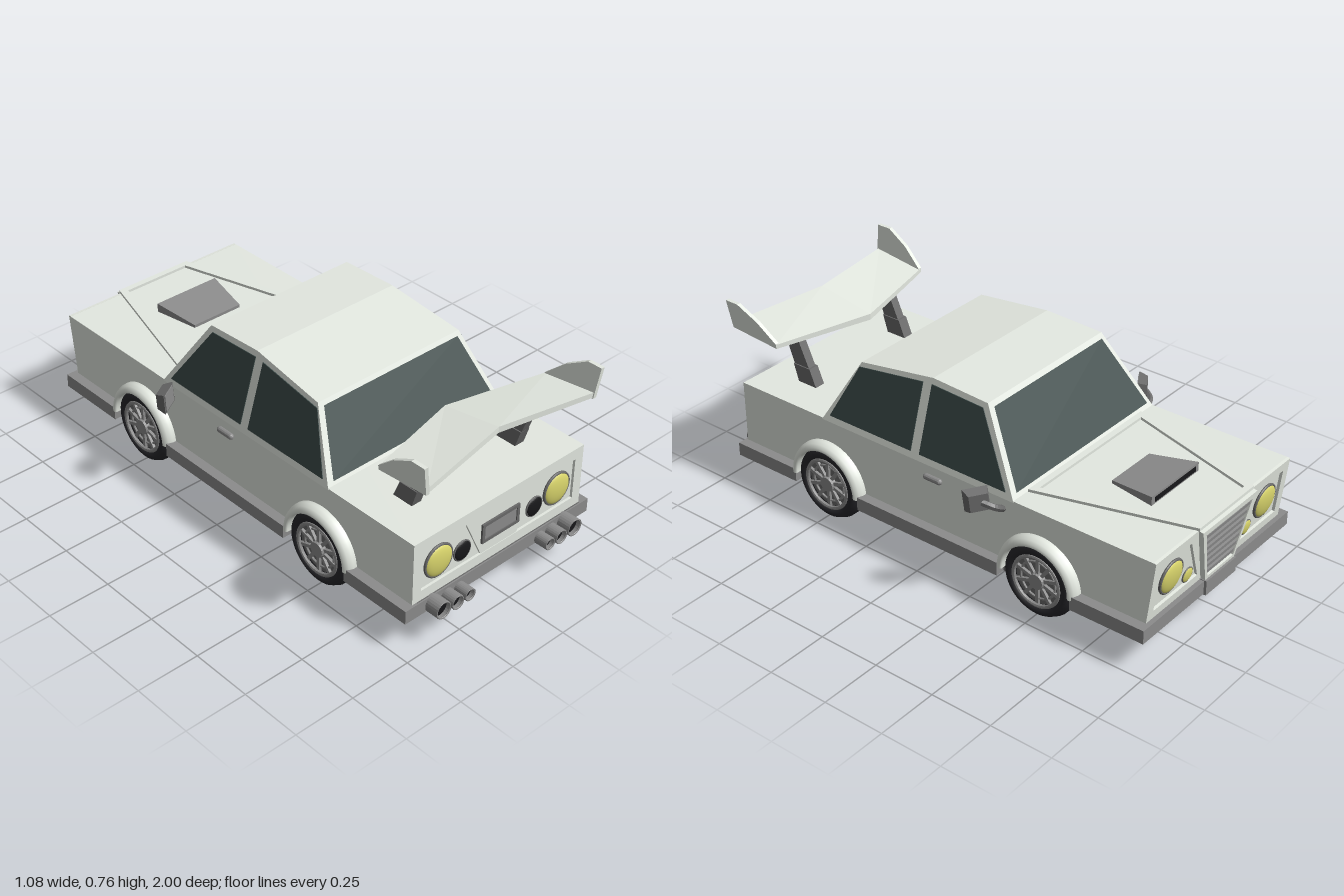
import * as THREE from 'three';

const mat = (color, flat = true) => new THREE.MeshStandardMaterial({ color, flatShading: flat, side: THREE.DoubleSide });
const paint = mat(0xe4e9e1), paintSmooth = mat(0xe4e9e1, false), trim = mat(0x8c8c8c), dark = mat(0x6a6a6a);
const glass = mat(0x3c4b49), yellow = mat(0xd9d56c, false), black = mat(0x18181a), rubber = mat(0x26262a, false);
const SIDES = [-1, 1];

function add(parent, name, geo, material, x = 0, y = 0, z = 0) {
  const m = new THREE.Mesh(geo, material);
  m.name = name;
  m.position.set(x, y, z);
  parent.add(m);
  return m;
}
function group(parent, name, x = 0, y = 0, z = 0) {
  const g = new THREE.Group();
  g.name = name;
  g.position.set(x, y, z);
  parent.add(g);
  return g;
}
const box = (w, h, d) => new THREE.BoxGeometry(w, h, d);
const vecs = pts => pts.map(p => new THREE.Vector2(p[0], p[1]));

// flat plate in xy, extruded towards +z, with optional holes
function plate(pts, depth, holes = []) {
  const s = new THREE.Shape(vecs(pts));
  holes.forEach(h => s.holes.push(new THREE.Path(vecs(h))));
  return new THREE.ExtrudeGeometry(s, { depth, bevelEnabled: false });
}
// [z, y] profile extruded across x
const across = (pts, w) => plate(pts, w).translate(0, 0, -w / 2).rotateY(-Math.PI / 2);
// moves every vertex by a rule
function bend(geo, rule) {
  const p = geo.attributes.position, v = new THREE.Vector3();
  for (let i = 0; i < p.count; i++) {
    rule(v.fromBufferAttribute(p, i));
    p.setXYZ(i, v.x, v.y, v.z);
  }
  geo.computeVertexNormals();
  return geo;
}
const rod = (r, len, n = 24) => new THREE.CylinderGeometry(r, r, len, n).rotateX(Math.PI / 2);
const rect = (x0, x1, y0, y1) => [[x0, y0], [x1, y0], [x1, y1], [x0, y1]];
const mirrorPts = pts => pts.map(([x, y]) => [-x, y]);

// round lamp with a rim, facing +z
function lamp(parent, name, r, x, y, z, material) {
  const g = group(parent, name, x, y, z);
  add(g, 'lampRim', new THREE.TorusGeometry(r, r * 0.09, 8, 32), dark);
  add(g, 'lampLens', new THREE.SphereGeometry(r, 32, 16).scale(1, 1, 0.28), material);
}

const cabinX = y => 0.42 - 0.31 * (y - 0.42);
const tumblehome = (geo, off) => bend(geo, v => { v.x = Math.sign(v.x) * (cabinX(v.y) + off); });

// sloping windscreen between the cabin base and the roof edge
function screen(zb, zt, yt) {
  const pts = [];
  for (const t of [0.06, 0.94]) {
    const y = 0.42 + t * (yt - 0.42), x = cabinX(y) - 0.022, z = zb + t * (zt - zb) + Math.sign(zb) * 0.004;
    pts.push(-x, y + 0.002, z, x, y + 0.002, z);
  }
  const g = new THREE.BufferGeometry();
  g.setAttribute('position', new THREE.Float32BufferAttribute(pts, 3));
  g.setIndex(zb > 0 ? [0, 1, 3, 0, 3, 2] : [1, 0, 2, 1, 2, 3]);
  g.computeVertexNormals();
  return g;
}

function buildWheel(car, s, z) {
  const w = group(car, 'wheel', s * 0.38, 0.15, z);
  if (s < 0) w.rotation.y = Math.PI;
  const tyre = [[0, -0.07], [0.12, -0.07], [0.14, -0.062], [0.15, -0.04], [0.15, 0.04], [0.14, 0.062], [0.125, 0.07], [0.108, 0.068], [0.104, 0.045], [0, 0.045]];
  add(w, 'tyre', new THREE.LatheGeometry(vecs(tyre), 40).rotateZ(-Math.PI / 2), rubber);
  add(w, 'rim', new THREE.TorusGeometry(0.1, 0.008, 8, 40).rotateY(Math.PI / 2), trim, 0.064);
  add(w, 'rimDish', new THREE.CylinderGeometry(0.098, 0.098, 0.01, 32).rotateZ(Math.PI / 2), dark, 0.046);
  add(w, 'hubRing', new THREE.TorusGeometry(0.075, 0.005, 6, 32).rotateY(Math.PI / 2), trim, 0.054);
  add(w, 'hubCap', new THREE.CylinderGeometry(0.03, 0.036, 0.025, 16).rotateZ(-Math.PI / 2), trim, 0.058);
  for (let i = 0; i < 10; i++) {
    const spoke = box(0.014, 0.07, 0.013).translate(0.055, 0.065, 0).rotateX(i * Math.PI / 5);
    add(w, 'spoke', spoke, trim);
  }
  // flared wheel arch
  const flare = [[0.143, 0.02], [0.143, 0.078], [0.149, 0.085], [0.16, 0.083], [0.17, 0.072], [0.176, 0.055], [0.177, 0.02]];
  add(w, 'wheelArch', new THREE.LatheGeometry(vecs(flare), 32, Math.PI, Math.PI).rotateZ(-Math.PI / 2), paintSmooth);
}

function buildTail(car) {
  const tail = group(car, 'tailPanel', 0, 0, 0.925);
  add(tail, 'tailFrame', plate(rect(-0.42, 0.42, 0.165, 0.42), 0.01, [rect(-0.38, 0.38, 0.205, 0.375)]), paint);
  add(tail, 'plateSurround', plate([[-0.09, 0.205], [0.09, 0.205], [0.17, 0.375], [-0.17, 0.375]], 0.008), paint);
  add(tail, 'plateFrame', plate(rect(-0.093, 0.093, 0.252, 0.333), 0.016, [rect(-0.08, 0.08, 0.264, 0.321)]), dark);
  add(tail, 'numberPlate', box(0.16, 0.058, 0.01), trim, 0, 0.292, 0.007);
  for (const s of SIDES) {
    lamp(tail, 'tailLamp', 0.063, s * 0.295, 0.288, 0.004, yellow);
    lamp(tail, 'smallTailLamp', 0.039, s * 0.18, 0.267, 0.004, black);
    for (const [x, y, r] of [[0.331, 0.132, 0.035], [0.262, 0.127, 0.029], [0.203, 0.127, 0.025]]) {
      const pipe = group(car, 'exhaust', s * x, y, 0.94);
      add(pipe, 'pipe', new THREE.CylinderGeometry(r, r, 0.12, 24, 1, true).rotateX(Math.PI / 2), trim);
      add(pipe, 'pipeLip', new THREE.TorusGeometry(r - 0.003, 0.003, 6, 24), trim, 0, 0, 0.057);
      add(pipe, 'pipeBore', rod(r - 0.003, 0.08), black);
    }
  }
}

function buildNose(car) {
  // local +z points out of the leaning nose
  const nose = group(car, 'nose', 0, 0, -0.932);
  nose.rotation.set(-0.115, Math.PI, 0);
  const bay = [[0.12, 0.2], [0.385, 0.2], [0.385, 0.385], [0.2, 0.385]];
  add(nose, 'noseFrame', plate(rect(-0.42, 0.42, 0.165, 0.422), 0.012, [bay, mirrorPts(bay)]).translate(0, 0, -0.012), paint);
  const outer = [[-0.09, 0.165], [0.09, 0.165], [0.17, 0.422], [-0.17, 0.422]];
  const inner = [[-0.082, 0.185], [0.082, 0.185], [0.145, 0.4], [-0.145, 0.4]];
  add(nose, 'grilleFrame', plate(outer, 0.02, [inner]), paint);
  add(nose, 'grilleBack', plate(inner, 0.004), dark);
  for (let i = 0; i < 7; i++) {
    const y = 0.202 + i * 0.03;
    add(nose, 'grilleSlat', box(2 * (0.082 + (y - 0.185) * 0.29), 0.014, 0.012), trim, 0, y, 0.01);
  }
  for (const s of SIDES) {
    lamp(nose, 'headLamp', 0.064, s * 0.295, 0.295, -0.006, yellow);
    lamp(nose, 'fogLamp', 0.029, s * 0.185, 0.238, -0.004, yellow);
  }
}

function buildSpoiler(car) {
  const sp = group(car, 'spoiler');
  // swept wing, lower at its leading edge
  const wing = bend(new THREE.BoxGeometry(2, 1, 1, 2, 1, 1), v => {
    const t = Math.abs(v.x), top = v.y > 0, rear = v.z > 0;
    v.x *= 0.408;
    v.z = rear ? 0.9 + 0.07 * t : 0.65 + 0.1 * t;
    v.y = rear ? (top ? 0.68 - 0.012 * t : 0.655 - 0.008 * t) : (top ? 0.638 + 0.004 * t : 0.613 + 0.012 * t);
  });
  add(sp, 'wing', wing, paint);
  const fin = [[0.98, 0.765], [0.92, 0.765], [0.83, 0.715], [0.75, 0.645], [0.75, 0.625], [0.972, 0.645]];
  const strut = [[0.77, 0.41], [0.69, 0.41], [0.795, 0.645], [0.86, 0.655]];
  const foot = [[0.775, 0.41], [0.685, 0.41], [0.718, 0.49], [0.8, 0.49]];
  for (const s of SIDES) {
    add(sp, 'endPlate', bend(across(fin, 0.016), v => { v.x = s * (0.402 + v.x + (v.y - 0.63) * 0.17); }), paint);
    add(sp, 'strut', across(strut, 0.036), dark, s * 0.255);
    add(sp, 'strutFoot', across(foot, 0.045), dark, s * 0.255);
  }
}

function buildBonnet(car) {
  const lay = geo => geo.rotateX(Math.PI / 2);
  const outer = [[-0.17, -0.985], [0.17, -0.985], [0.34, -0.385], [-0.34, -0.385]];
  const inner = [[-0.145, -0.96], [0.145, -0.96], [0.305, -0.41], [-0.305, -0.41]];
  add(car, 'bonnetRidge', lay(plate(outer, 0.015, [inner])), paint, 0, 0.431);
  // wedge scoop, open towards the nose
  const scoop = bend(box(2, 1, 0.19), v => {
    const nose = v.z < 0;
    v.x *= nose ? 0.145 : 0.113;
    v.y = v.y < 0 ? 0.415 : (nose ? 0.456 : 0.432);
    v.z -= 0.675;
  });
  add(car, 'bonnetScoop', scoop, trim);
  add(car, 'scoopMouth', box(0.25, 0.02, 0.004), black, 0, 0.437, -0.77);
}

export function createModel() {
  const car = new THREE.Group();
  car.name = 'car';
  add(car, 'body', across([[0.925, 0.15], [0.925, 0.42], [-0.969, 0.42], [-0.938, 0.15]], 0.84), paint);

  // cabin with glass
  add(car, 'cabin', tumblehome(across([[0.52, 0.415], [0.38, 0.67], [0.05, 0.715], [-0.2, 0.705], [-0.385, 0.415]], 0.8), 0), paint);
  const rearPane = [[0.485, 0.44], [0.385, 0.652], [0.09, 0.69], [0.09, 0.44]];
  const frontPane = [[0.05, 0.44], [0.05, 0.693], [-0.185, 0.685], [-0.345, 0.44]];
  for (const pane of [rearPane, frontPane]) add(car, 'sideWindows', tumblehome(across(pane, 0.8), 0.003), glass);
  add(car, 'rearWindow', screen(0.52, 0.38, 0.67), glass);
  add(car, 'windscreen', screen(-0.383, -0.2, 0.705), glass);

  // floor, bumpers and side skirts
  add(car, 'floor', box(0.84, 0.055, 1.88), dark, 0, 0.1375, 0);
  for (const [z0, z1] of [[0.64, 0.945], [-0.34, 0.325], [-0.965, -0.66]]) {
    for (const s of SIDES) add(car, 'skirt', box(0.06, 0.055, z1 - z0), trim, s * 0.43, 0.1375, (z0 + z1) / 2);
  }
  add(car, 'rearBumper', box(0.92, 0.055, 0.03), trim, 0, 0.1375, 0.93);
  add(car, 'noseBumper', box(0.92, 0.055, 0.04), trim, 0, 0.1375, -0.95);
  add(car, 'bumperCentre', box(0.19, 0.06, 0.03), trim, 0, 0.1375, -0.965);

  for (const s of SIDES) {
    for (const z of [0.49, -0.505]) buildWheel(car, s, z);
    add(car, 'doorHandle', new THREE.CapsuleGeometry(0.012, 0.06, 4, 12).rotateX(Math.PI / 2), trim, s * 0.427, 0.37, -0.022);
    // door mirror
    const mirror = group(car, 'doorMirror', s * 0.495, 0.422, -0.285);
    mirror.rotation.y = -s * 0.55;
    const head = bend(box(0.095, 0.09, 0.035), v => {
      if (v.z < 0) { v.x *= 0.75; v.y *= 0.75; }
      v.x += s * v.y * 0.12;
    });
    add(mirror, 'mirrorHead', head, dark);
    add(mirror, 'mirrorGlass', bend(box(0.078, 0.074, 0.004), v => { v.x += s * v.y * 0.12; }), trim, 0, 0, 0.018);
    const arm = new THREE.CatmullRomCurve3([[0.415, 0.37, -0.335], [0.44, 0.385, -0.342], [0.472, 0.405, -0.335], [0.492, 0.42, -0.3]].map(([x, y, z]) => new THREE.Vector3(s * x, y, z)));
    add(car, 'mirrorArm', new THREE.TubeGeometry(arm, 10, 0.013, 6), dark);
  }

  buildTail(car);
  buildNose(car);
  buildBonnet(car);
  buildSpoiler(car);
  return car;
}
